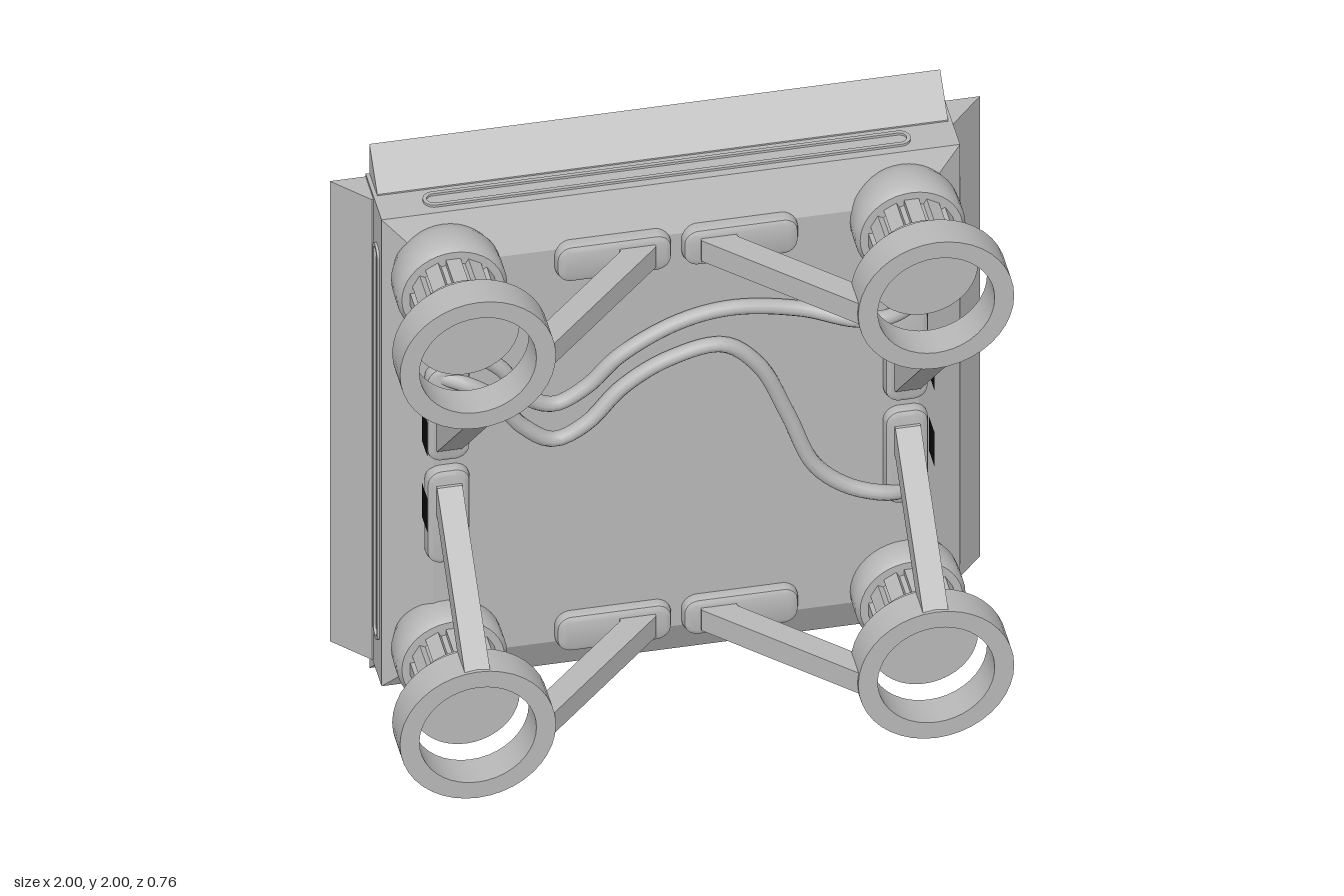
import * as THREE from 'three';
import { toCreasedNormals } from 'three/addons/utils/BufferGeometryUtils.js';

const metal = new THREE.MeshStandardMaterial({ color: 0xb8b8b8 });
metal.name = 'grey metal';
const dark = new THREE.MeshStandardMaterial({ color: 0x0a0a0a, side: THREE.DoubleSide });
dark.name = 'black';

const HALF = 0.89;   // half size of the panel body
const OFFSET = 0.705; // distance of the thruster axes from the centre

function add(parent, name, geometry, material = metal) {
  const mesh = new THREE.Mesh(geometry, material);
  mesh.name = name;
  parent.add(mesh);
  return mesh;
}

// Rectangle with rounded corners, centred on the origin
function roundedRect(target, w, h, r) {
  const x = w / 2, y = h / 2;
  target.moveTo(-x + r, -y);
  target.lineTo(x - r, -y);
  target.absarc(x - r, -y + r, r, -Math.PI / 2, 0);
  target.lineTo(x, y - r);
  target.absarc(x - r, y - r, r, 0, Math.PI / 2);
  target.lineTo(-x + r, y);
  target.absarc(-x + r, y - r, r, Math.PI / 2, Math.PI);
  target.lineTo(-x, -y + r);
  target.absarc(-x + r, -y + r, r, Math.PI, Math.PI * 1.5);
  return target;
}

// Lathe with its axis along z, from [radius, z] pairs
function turned(points) {
  const g = new THREE.LatheGeometry(points.map(([r, z]) => new THREE.Vector2(r, z)), 40);
  return toCreasedNormals(g.rotateX(Math.PI / 2), 0.6);
}

// Side outline in (x, z), given a width along y
function sideProfile(points, width) {
  const shape = new THREE.Shape(points.map(([x, z]) => new THREE.Vector2(x, z)));
  return new THREE.ExtrudeGeometry(shape, { depth: width, bevelEnabled: false })
    .translate(0, 0, -width / 2).rotateX(Math.PI / 2);
}

// Square body whose front edge slopes in
function bodyGeometry() {
  const g = new THREE.BoxGeometry(HALF * 2, HALF * 2, 2, 1, 1, 2);
  const p = g.attributes.position;
  for (let i = 0; i < p.count; i++) {
    const layer = Math.round(p.getZ(i)) + 1;
    const s = [1, 1, 0.84][layer];
    p.setXYZ(i, p.getX(i) * s, p.getY(i) * s, [-0.378, -0.147, -0.075][layer]);
  }
  const flat = g.toNonIndexed();
  flat.computeVertexNormals();
  return flat;
}

function createThruster() {
  const g = new THREE.Group();
  g.name = 'thruster';
  add(g, 'motorBase', turned([
    [0, -0.16], [0.135, -0.16], [0.155, -0.125], [0.168, -0.09],
    [0.17, -0.05], [0.17, 0], [0.158, 0.02], [0, 0.02],
  ]));
  add(g, 'motorCore', turned([[0.115, 0.01], [0.115, 0.18]]));
  const ribs = 12;
  for (let i = 0; i < ribs; i++) {
    const rib = add(g, 'motorRib', new THREE.BoxGeometry(0.035, 0.045, 0.155));
    const a = (i / ribs) * Math.PI * 2;
    rib.position.set(Math.cos(a) * 0.115, Math.sin(a) * 0.115, 0.095);
    rib.rotation.z = a;
  }
  add(g, 'motorCap', turned([[0, 0.168], [0.165, 0.168], [0.165, 0.205], [0, 0.205]]));
  add(g, 'guardRing', turned([
    [0.18, 0.265], [0.24, 0.265], [0.24, 0.378], [0.18, 0.378], [0.18, 0.265],
  ]));
  return g;
}

// Sloping strut and the foot plate under it, running outwards along +x
function createArm() {
  const g = new THREE.Group();
  g.name = 'arm';
  add(g, 'strut', sideProfile([
    [0.475, 0.265], [0.475, 0.376], [0.07, -0.03], [0.07, -0.08], [0.18, -0.08], [0.18, -0.03],
  ], 0.078));
  const foot = new THREE.ExtrudeGeometry(roundedRect(new THREE.Shape(), 0.32, 0.1, 0.03), {
    depth: 0.01, bevelThickness: 0.025, bevelSize: 0.018, bevelSegments: 2, curveSegments: 6,
  });
  add(g, 'footPlate', toCreasedNormals(foot, 0.6)).position.set(0.195, 0, -0.075);
  return g;
}

// Cable following [x, y, z] points
function cable(parent, points) {
  const curve = new THREE.CatmullRomCurve3(points.map((p) => new THREE.Vector3(...p)));
  add(parent, 'cable', new THREE.TubeGeometry(curve, 70, 0.025, 10));
}

export function createModel() {
  const root = new THREE.Group();
  root.name = 'thrusterPanel';
  const model = new THREE.Group();
  model.name = 'panelAssembly';
  model.position.y = 1;
  root.add(model);

  add(model, 'panelBody', bodyGeometry());

  for (let i = 0; i < 4; i++) {
    const edge = new THREE.Group();
    edge.name = 'edge';
    edge.rotation.z = (i * Math.PI) / 2;
    model.add(edge);

    // Wedge flange flush with the back
    add(edge, 'flange', sideProfile([[0.87, -0.38], [1, -0.38], [HALF + 0.005, -0.265], [0.87, -0.265]], 1.756));

    // Long slot rim on the edge face
    const rim = roundedRect(new THREE.Shape(), 1.5, 0.068, 0.0339);
    rim.holes.push(roundedRect(new THREE.Path(), 1.476, 0.044, 0.0219));
    const rimGeo = new THREE.ExtrudeGeometry(rim, { depth: 0.008, bevelEnabled: false, curveSegments: 6 });
    add(edge, 'slotRim', rimGeo.rotateX(-Math.PI / 2)).position.set(0, HALF, -0.208);

    // Two arms reaching from the middle of the edge to its corners
    for (const turn of [0, Math.PI]) {
      const arm = createArm();
      arm.position.y = OFFSET;
      arm.rotation.z = turn;
      edge.add(arm);
    }
  }

  for (const sx of [-1, 1]) {
    for (const sy of [-1, 1]) {
      const thruster = createThruster();
      thruster.position.set(sx * 0.705, sy * OFFSET, 0);
      model.add(thruster);

      // Dark plate beside each upright arm
      const plate = add(model, 'darkPlate', new THREE.PlaneGeometry(0.085, 0.13), dark);
      plate.rotation.y = Math.PI / 2;
      plate.position.set(sx * 0.78, sy * 0.145, -0.04);
    }
  }

  // Loose cables across the front
  cable(model, [
    [-0.72, 0.46, -0.06], [-0.64, 0.43, -0.03], [-0.55, 0.36, -0.03], [-0.47, 0.23, -0.04],
    [-0.38, 0.18, -0.05], [-0.28, 0.23, -0.05], [-0.18, 0.33, -0.05], [0, 0.42, -0.06],
    [0.17, 0.45, -0.06], [0.38, 0.42, -0.05], [0.54, 0.39, 0], [0.64, 0.385, 0], [0.72, 0.38, -0.05],
  ]);
  cable(model, [
    [-0.72, 0.33, -0.06], [-0.65, 0.31, -0.03], [-0.57, 0.25, -0.03], [-0.48, 0.12, -0.04],
    [-0.38, 0.045, -0.05], [-0.28, 0.09, -0.05], [-0.17, 0.2, -0.06], [-0.03, 0.285, -0.06],
    [0.14, 0.315, -0.06], [0.25, 0.22, -0.06], [0.34, 0.02, -0.06], [0.42, -0.18, -0.05],
    [0.52, -0.27, -0.04], [0.64, -0.31, -0.03], [0.72, -0.33, -0.06],
  ]);
  return root;
}
